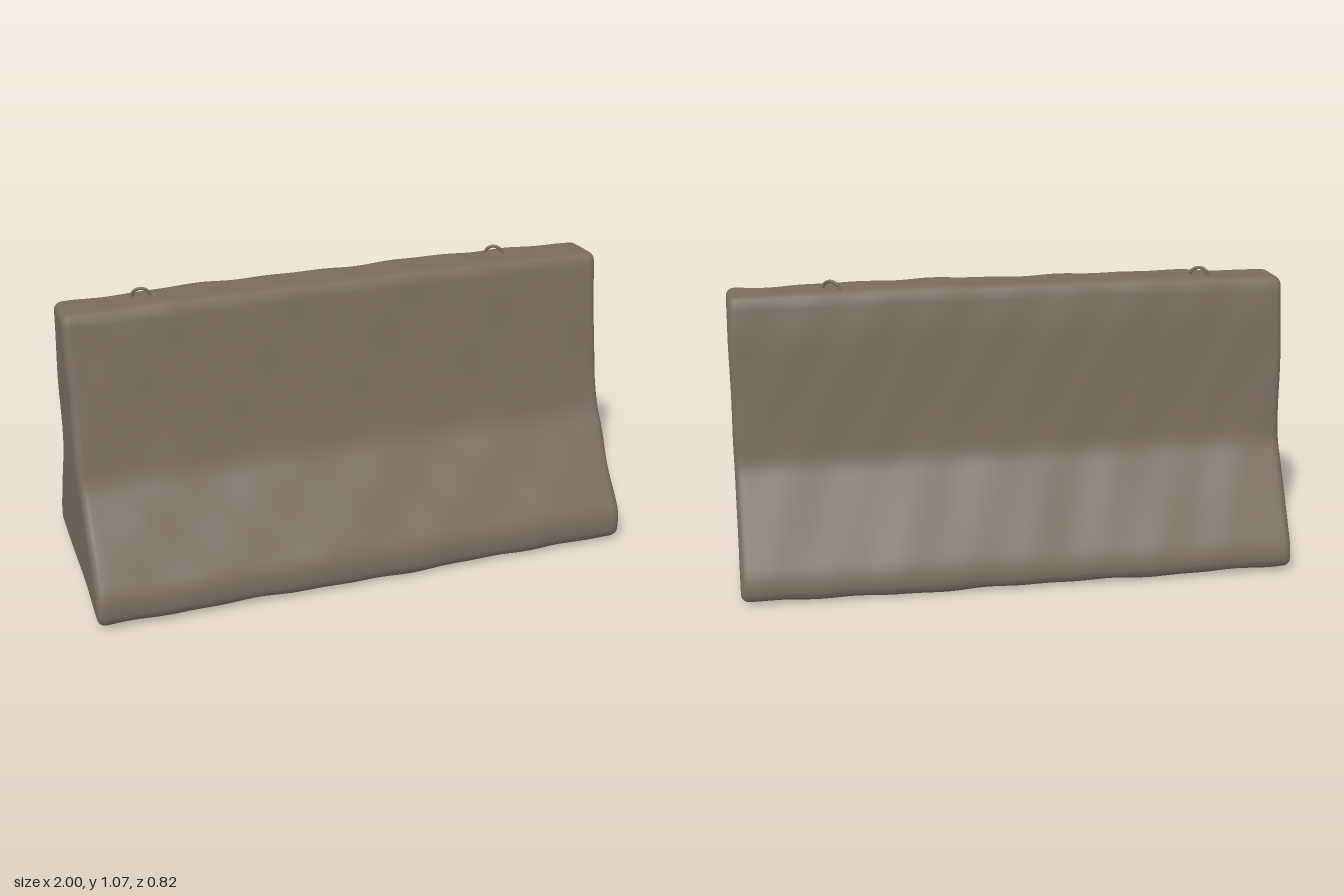
import * as THREE from 'three';

// Barrier cross-section as [z, y, corner rounding], counter-clockwise
const CORNERS = [
  [0.405, 0.012, 0.04], [0.405, 0.115, 0.04], [0.18, 0.455, 0.04], [0.148, 0.6, 0.05],
  [0.06, 1.036, 0.03], [-0.116, 1.036, 0.035], [-0.14, 0.9, 0.05], [-0.165, 0.6, 0.05],
  [-0.183, 0.44, 0.04], [-0.4, 0.09, 0.05], [-0.402, 0.012, 0.035],
];
const CENTRE = new THREE.Vector2(-0.01, 0.38);

function profilePoints(count) {
  const path = new THREE.Path();
  const n = CORNERS.length;
  CORNERS.forEach(([z, y, r], i) => {
    const p = new THREE.Vector2(z, y);
    const toward = (k) => {
      const q = new THREE.Vector2(CORNERS[k][0], CORNERS[k][1]).sub(p);
      return q.setLength(Math.min(r, q.length() * 0.45)).add(p);
    };
    const a = toward((i + n - 1) % n), b = toward((i + 1) % n);
    if (i === 0) path.moveTo(a.x, a.y);
    else path.lineTo(a.x, a.y);
    path.quadraticCurveTo(p.x, p.y, b.x, b.y);
  });
  path.closePath();
  return path.getSpacedPoints(count).slice(0, count);
}

// Gentle unevenness of weathered cast concrete
const lumps = (x, y, z) =>
  0.0022 * Math.sin(7 * x + 5 * y + 3 * z) +
  0.0018 * Math.sin(15 * x - 9 * y + 11 * z + 1) +
  0.0014 * Math.sin(27 * x + 17 * y - 13 * z + 2);

function createBlockGeometry() {
  const COUNT = 150, LENGTH_STEPS = 80, R = 0.028, HALF = 0.995;
  const profile = profilePoints(COUNT);
  const normals = profile.map((p, j) => {
    const t = profile[(j + 1) % COUNT].clone().sub(profile[(j + COUNT - 1) % COUNT]).normalize();
    return new THREE.Vector2(t.y, -t.x);
  });

  // Rings from the left-hand cap centre, round its edge, along the body, and mirrored
  const end = [];
  for (const s of [0, 0.3, 0.6, 0.8, 0.94]) end.push({ x: -HALF, inset: R, scale: s });
  for (let k = 0; k <= 5; k++) {
    const a = (k / 5) * Math.PI / 2;
    end.push({ x: -HALF + R * (1 - Math.sin(a)), inset: R * (1 - Math.cos(a)), scale: 1 });
  }
  end.slice(5).forEach((ring, k) => {
    const a = (k / 5) * Math.PI / 2;
    ring.x = -HALF + R * (1 - Math.cos(a));
    ring.inset = R * (1 - Math.sin(a));
  });
  const rings = [...end];
  const inner = HALF - R;
  for (let i = 1; i < LENGTH_STEPS; i++) {
    rings.push({ x: -inner + (2 * inner * i) / LENGTH_STEPS, inset: 0, scale: 1 });
  }
  for (const ring of [...end].reverse()) rings.push({ ...ring, x: -ring.x });

  const pos = [], index = [];
  rings.forEach(({ x, inset, scale }, i) => {
    profile.forEach((p, j) => {
      const q = p.clone().addScaledVector(normals[j], -inset).sub(CENTRE).multiplyScalar(scale).add(CENTRE);
      const d = lumps(x, q.y, q.x);
      const crown = 0.009 * Math.max(0, 1 - x * x) * THREE.MathUtils.smoothstep(q.y, 0.7, 1.03);
      const sag = -0.005 * Math.cos(2 * (x - 0.3)) * (1 - THREE.MathUtils.smoothstep(q.y, 0, 0.15));
      pos.push(
        x + Math.sign(x) * d * Math.max(0, (Math.abs(x) - 0.9) * 10),
        q.y + normals[j].y * d * scale + crown + sag,
        q.x + normals[j].x * d * scale,
      );
      if (i < rings.length - 1) {
        const a = i * COUNT + j, b = i * COUNT + ((j + 1) % COUNT);
        index.push(a, a + COUNT, b, b, a + COUNT, b + COUNT);
      }
    });
  });
  const geometry = new THREE.BufferGeometry();
  geometry.setAttribute('position', new THREE.Float32BufferAttribute(pos, 3));
  geometry.setIndex(index);
  geometry.computeVertexNormals();
  return geometry;
}

export function createModel() {
  const group = new THREE.Group();
  group.name = 'concreteBarrier';
  const concrete = new THREE.MeshStandardMaterial({ color: 0x776d5e });
  concrete.name = 'weathered concrete';

  const block = new THREE.Mesh(createBlockGeometry(), concrete);
  block.name = 'barrierBlock';
  group.add(block);

  // Small lifting loops set into the top
  const arch = new THREE.CatmullRomCurve3([
    [-0.033, -0.02, 0], [-0.033, 0.012, 0], [-0.02, 0.035, 0], [0.003, 0.042, 0],
    [0.025, 0.032, 0], [0.034, 0.01, 0], [0.034, -0.02, 0],
  ].map((p) => new THREE.Vector3(...p)));
  const loopGeometry = new THREE.TubeGeometry(arch, 24, 0.006, 8);
  for (const [name, x, z, turn] of [['rightLiftingLoop', -0.7, -0.046, -0.3], ['leftLiftingLoop', 0.63, -0.054, -0.5]]) {
    const loop = new THREE.Mesh(loopGeometry, concrete);
    loop.name = name;
    loop.position.set(x, 1.026, z);
    loop.rotation.y = turn;
    group.add(loop);
  }
  return group;
}
